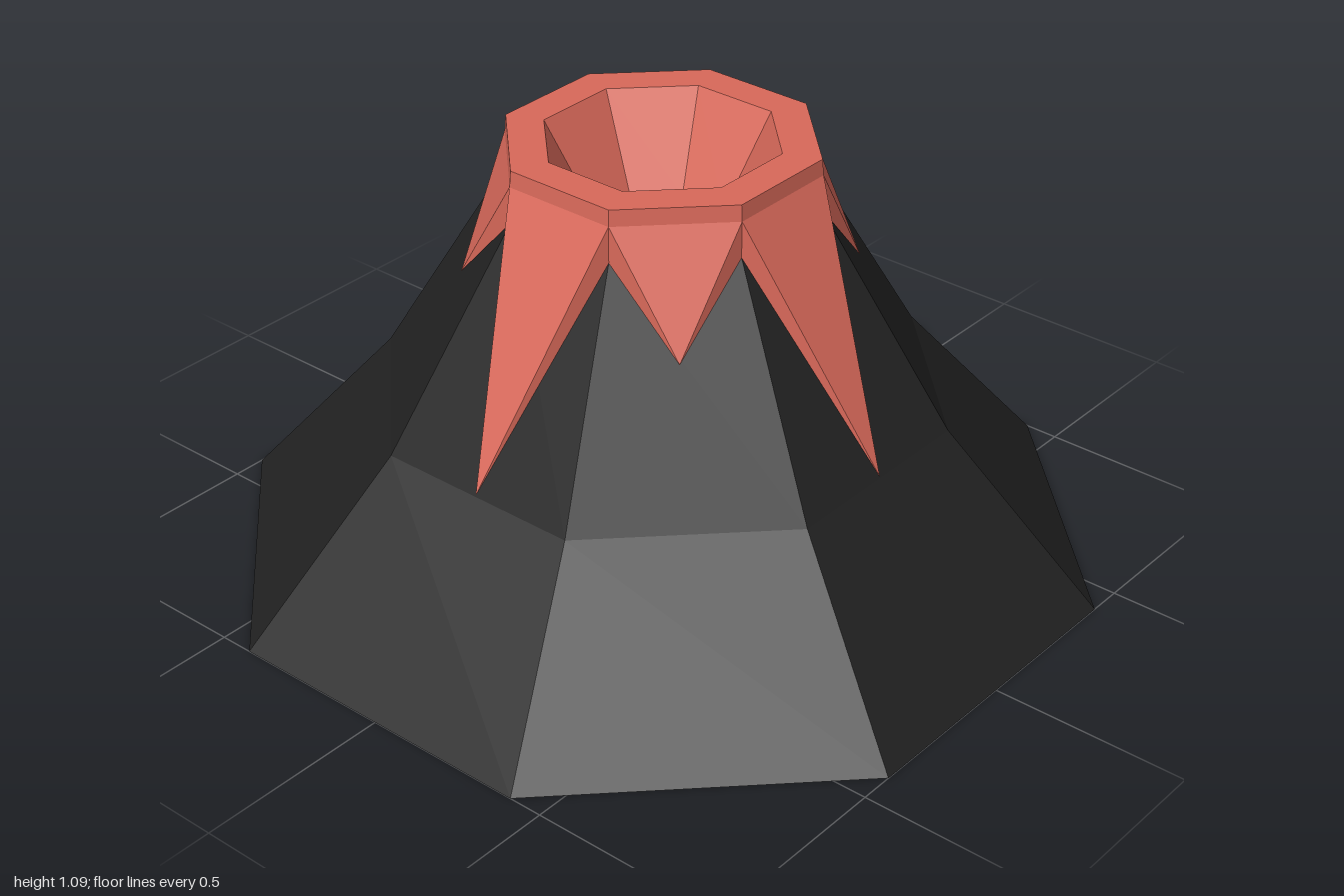
import * as THREE from 'three';

const rock = new THREE.MeshStandardMaterial({ color: 0x222222, flatShading: true });
const lava = new THREE.MeshStandardMaterial({ color: 0xd9695a, flatShading: true });

const SIDES = 8;
const HALF = Math.PI / SIDES;
const RIM = 0.355, RIM_LOW = 0.96, RIM_MID = 1.05, RIM_TOP = 1.09;

// Eight-sided solid of revolution; profile given as [distance to flat side, height]
function octagonal(profile, material, name) {
  const points = profile.map(([a, y]) => new THREE.Vector2(a / Math.cos(HALF), y));
  const mesh = new THREE.Mesh(new THREE.LatheGeometry(points, SIDES, HALF), material);
  mesh.name = name;
  return mesh;
}

// Pointed wedge of lava from one side of the rim down to a tip on the slope
function lavaDrip(tipDistance, tipHeight) {
  const h = RIM * Math.tan(HALF);
  const left = [-h, RIM_MID, RIM], right = [h, RIM_MID, RIM];
  const lowLeft = [-h, RIM_LOW, RIM], lowRight = [h, RIM_LOW, RIM];
  const tip = [0, tipHeight, tipDistance];
  const corners = [left, tip, right, left, lowLeft, tip, right, tip, lowRight];
  const geometry = new THREE.BufferGeometry();
  geometry.setAttribute('position', new THREE.Float32BufferAttribute(corners.flat(), 3));
  geometry.computeVertexNormals();
  return new THREE.Mesh(geometry, lava);
}

export function createModel() {
  const model = new THREE.Group();
  model.name = 'volcano';

  // Mountain with a steeper upper slope
  model.add(octagonal([[0, 0], [1, 0], [0.65, 0.43], [RIM, RIM_LOW]], rock, 'mountain'));

  // Lip, flat rim and crater bowl
  model.add(octagonal([
    [RIM, RIM_MID], [0.352, RIM_TOP], [0.265, RIM_TOP],
    [0.15, 0.86], [0.125, 0.82], [0.095, 0.8], [0, 0.79],
  ], lava, 'craterRim'));

  // Long drips on the four main sides, short ones on the diagonals
  const drips = new THREE.Group();
  drips.name = 'lavaDrips';
  for (let i = 0; i < SIDES; i++) {
    const long = i % 2 === 0;
    const drip = long ? lavaDrip(0.65, 0.435) : lavaDrip(0.47, 0.76);
    drip.name = long ? 'longDrip' : 'shortDrip';
    drip.rotation.y = i * 2 * HALF;
    drips.add(drip);
  }
  model.add(drips);

  return model;
}
